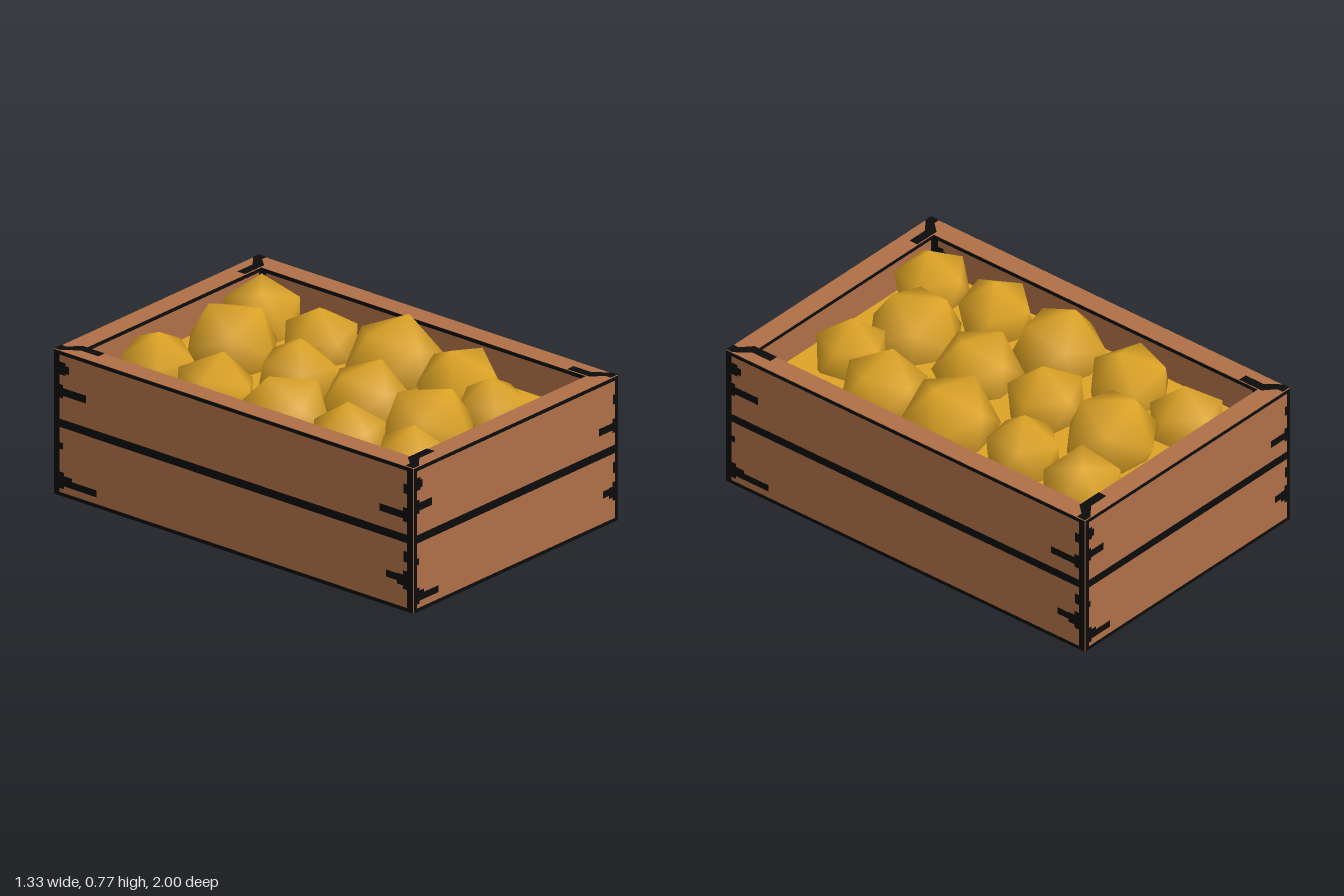
import * as THREE from 'three';
import { mergeGeometries, mergeVertices } from 'three/addons/utils/BufferGeometryUtils.js';

const HX = 0.664, HZ = 0.997, H = 0.664, WALL = 0.095, BED = 0.5;

const wood = new THREE.MeshStandardMaterial({ color: 0xaf6f47 });
const ink = new THREE.MeshStandardMaterial({ color: 0x0c0c0c });
const gold = new THREE.MeshStandardMaterial({ color: 0xdea426 });
wood.name = 'wood brown';
ink.name = 'outline black';
gold.name = 'fruit gold';

function add(group, name, geometry, material) {
  const mesh = new THREE.Mesh(geometry, material);
  mesh.name = name;
  group.add(mesh);
  return mesh;
}

// Painted marks of one crate side: u range as a fraction of its width, then y range
const MARKS = [
  [-0.5, 0.5, 0.647, 0.664], [-0.5, 0.5, 0.315, 0.353], [-0.5, 0.5, 0, 0.017],
  [-0.5, -0.484, 0, 0.664], [0.484, 0.5, 0, 0.664],
  [-0.49, -0.458, 0.567, 0.602], [-0.49, -0.468, 0.557, 0.615],
  [-0.49, -0.411, 0.462, 0.498], [-0.49, -0.474, 0.45, 0.512],
  [-0.49, -0.475, 0.215, 0.245],
  [-0.49, -0.381, 0.048, 0.08], [-0.49, -0.45, 0.048, 0.095], [-0.49, -0.472, 0.035, 0.11],
  [0.474, 0.49, 0.54, 0.585],
  [0.407, 0.49, 0.423, 0.457], [0.472, 0.49, 0.41, 0.475],
  [0.474, 0.49, 0.225, 0.275],
  [0.425, 0.49, 0.13, 0.162], [0.455, 0.49, 0.115, 0.165], [0.472, 0.49, 0.1, 0.185],
];

function marks(width, minY) {
  return mergeGeometries(MARKS.filter(m => m[3] > minY).map(([u0, u1, y0, y1]) => {
    const low = Math.max(y0, minY);
    const g = new THREE.PlaneGeometry((u1 - u0) * width, y1 - low);
    return g.translate((u0 + u1) / 2 * width, (low + y1) / 2, 0);
  }));
}

function rectangle(PathType, x, z) {
  return new PathType([[-x, -z], [x, -z], [x, z], [-x, z]].map(p => new THREE.Vector2(...p)));
}

// Fruit: centre x, z, radius, x, z and height of the topmost corner, spin
const FRUIT = [
  [-0.32, -0.72, 0.18, -0.33, -0.70, 0.715, 0.2],
  [0.005, -0.58, 0.215, 0.08, -0.48, 0.752, 0],
  [0.36, -0.72, 0.19, 0.43, -0.78, 0.715, 0],
  [-0.38, -0.35, 0.195, -0.33, -0.34, 0.725, 0.5],
  [0.31, -0.35, 0.18, 0.29, -0.34, 0.725, 0.1],
  [-0.04, -0.18, 0.185, -0.03, -0.17, 0.735, 0.3],
  [-0.38, 0.04, 0.212, -0.44, 0.0, 0.74, 0],
  [0.34, 0.03, 0.22, 0.2, 0.01, 0.725, 0],
  [-0.04, 0.2, 0.2, 0.04, 0.22, 0.725, 0],
  [-0.41, 0.42, 0.18, -0.4, 0.41, 0.725, 0.4],
  [0.34, 0.4, 0.2, 0.28, 0.4, 0.735, 0],
  [-0.09, 0.59, 0.22, -0.03, 0.67, 0.735, 0],
  [0.21, 0.69, 0.172, 0.2, 0.69, 0.72, 0.2],
  [-0.41, 0.77, 0.178, -0.4, 0.78, 0.72, 0.5],
];

// Smooth-shaded icosahedron with one corner pointing straight up and one facing +x
function makeFruitGeometry() {
  const g = new THREE.IcosahedronGeometry(1, 0);
  g.deleteAttribute('uv');
  g.deleteAttribute('normal');
  const smooth = mergeVertices(g, 1e-4);
  smooth.rotateZ(Math.atan2(1, (1 + Math.sqrt(5)) / 2));
  smooth.computeVertexNormals();
  return smooth;
}

export function createModel() {
  const model = new THREE.Group();
  model.name = 'fruitCrate';

  // Crate walls and floor
  const frame = rectangle(THREE.Shape, HX, HZ);
  frame.holes.push(rectangle(THREE.Path, HX - WALL, HZ - WALL));
  const walls = new THREE.ExtrudeGeometry(frame, { depth: H, bevelEnabled: false });
  add(model, 'crateWalls', walls.rotateX(-Math.PI / 2), wood);
  const floor = new THREE.BoxGeometry(2 * (HX - WALL), 0.06, 2 * (HZ - WALL));
  add(model, 'crateFloor', floor.translate(0, 0.03, 0), wood);

  // Plank lines and cracks, outside and inside each wall
  for (let k = 0; k < 4; k++) {
    const [half, dist] = k % 2 ? [HZ, HX] : [HX, HZ];
    const outer = marks(2 * half, 0).translate(0, 0, dist + 0.003);
    add(model, 'outerPlankLines', outer.rotateY(k * Math.PI / 2), ink);
    const inner = marks(2 * (half - WALL), BED).rotateY(Math.PI).translate(0, 0, dist - WALL - 0.003);
    add(model, 'innerPlankLines', inner.rotateY(k * Math.PI / 2), ink);
  }

  // Mitre cracks on the rim, turned a quarter at each corner
  const crack = [[0, 0], [0.045, 0], [0.045, 0.03], [0.095, 0.075], [0.095, 0.2],
    [0.052, 0.2], [0.052, 0.1], [0, 0.035]];
  const corners = [
    (a, b) => [-HX + a, -HZ + b], (a, b) => [HX - b, -HZ + a],
    (a, b) => [HX - a, HZ - b], (a, b) => [-HX + b, HZ - a],
  ];
  for (const place of corners) {
    const shape = new THREE.Shape(crack.map(([a, b]) => {
      const [x, z] = place(a, b);
      return new THREE.Vector2(x, -z);
    }));
    const g = new THREE.ShapeGeometry(shape).rotateX(-Math.PI / 2);
    add(model, 'rimCrack', g.translate(0, H + 0.003, 0), ink);
  }

  // Flat bed of fruit below the loose ones
  const bed = new THREE.PlaneGeometry(2 * (HX - WALL), 2 * (HZ - WALL)).rotateX(-Math.PI / 2);
  add(model, 'fruitBed', bed.translate(0, BED, 0), gold);

  // Loose fruit, each tilted so its top corner lands at the given point
  const fruitGeometry = makeFruitGeometry();
  const up = new THREE.Vector3(0, 1, 0);
  for (const [x, z, r, px, pz, top, spin] of FRUIT) {
    const dx = px - x, dz = pz - z;
    const rise = Math.sqrt(r * r - dx * dx - dz * dz);
    const fruit = add(model, 'fruit', fruitGeometry, gold);
    fruit.scale.setScalar(r);
    fruit.position.set(x, top - rise, z);
    const heading = Math.atan2(-dz, dx) + spin;
    fruit.quaternion.setFromUnitVectors(up, new THREE.Vector3(dx, rise, dz).normalize());
    fruit.quaternion.multiply(new THREE.Quaternion().setFromAxisAngle(up, heading));
  }
  return model;
}
